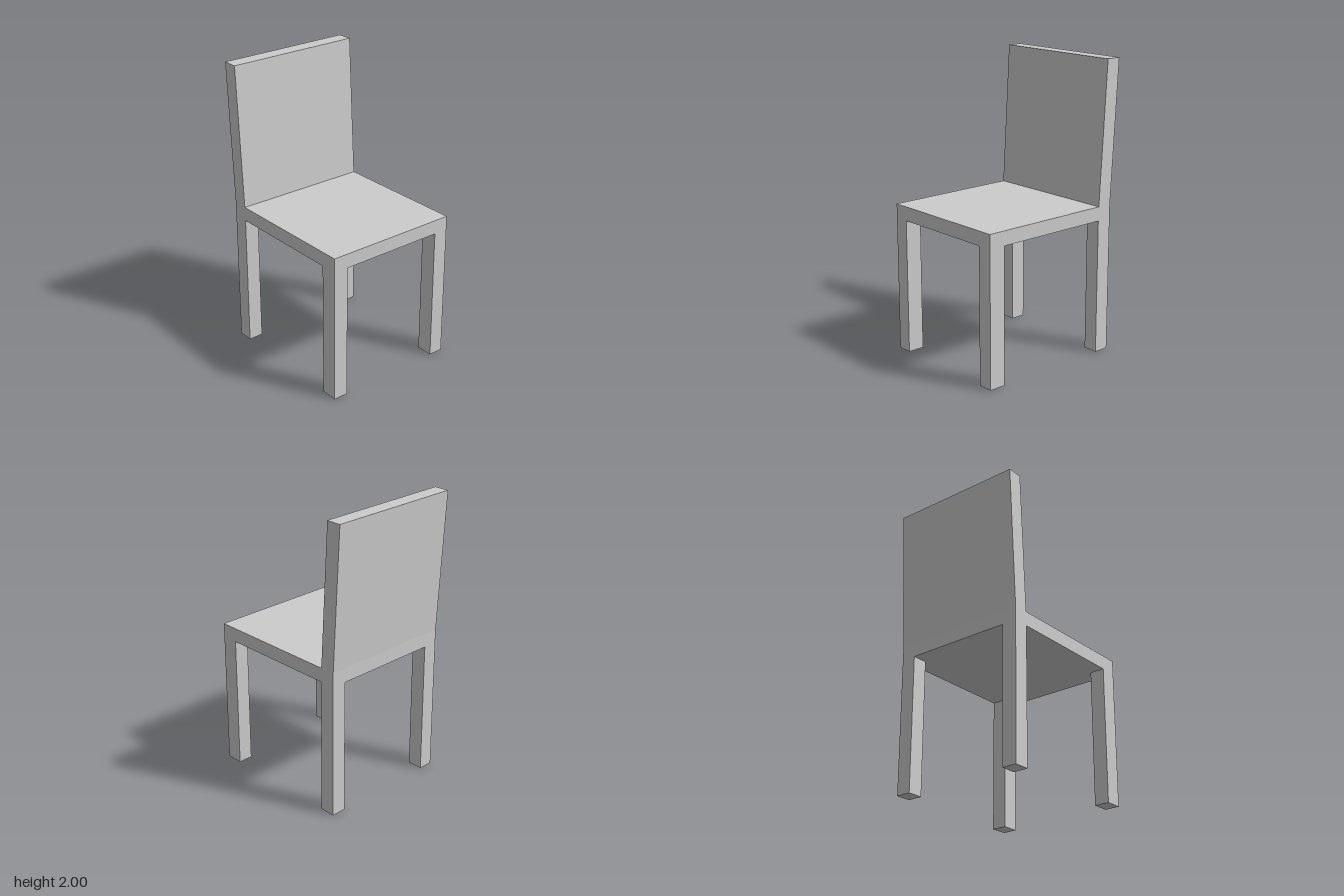
import * as THREE from 'three';

const HALF_W = 0.475;   // half width of the chair
const FRONT = 0.555;    // front edge of the seat
const REAR = -0.5;      // rear edge of the seat
const SEAT_BOTTOM = 0.93, SEAT_TOP = 1.027, TOP = 2;
const LEG_W = 0.103;

export function createModel() {
  const chair = new THREE.Group();
  chair.name = 'chair';
  const material = new THREE.MeshStandardMaterial({ color: 0xcccccc, flatShading: true });

  const add = (name, geometry) => {
    const mesh = new THREE.Mesh(geometry, material);
    mesh.name = name;
    chair.add(mesh);
  };

  // Box given by its limits on each axis
  const box = (x0, x1, y0, y1, z0, z1) =>
    new THREE.BoxGeometry(x1 - x0, y1 - y0, z1 - z0)
      .translate((x0 + x1) / 2, (y0 + y1) / 2, (z0 + z1) / 2);

  // Seat slab
  add('seat', box(-HALF_W, HALF_W, SEAT_BOTTOM, SEAT_TOP, REAR, FRONT));

  // Backrest: leaning side profile (z, y) extruded across the width
  const profile = new THREE.Shape([
    new THREE.Vector2(REAR, SEAT_TOP),
    new THREE.Vector2(-0.395, SEAT_TOP),
    new THREE.Vector2(-0.45, TOP),
    new THREE.Vector2(-0.555, TOP),
  ]);
  add('backrest', new THREE.ExtrudeGeometry(profile, { depth: 2 * HALF_W, bevelEnabled: false })
    .translate(0, 0, -HALF_W)
    .rotateY(-Math.PI / 2));

  // Four legs, flush with the seat corners
  for (const [side, x0] of [['left', HALF_W - LEG_W], ['right', -HALF_W]]) {
    add(`${side}FrontLeg`, box(x0, x0 + LEG_W, 0, SEAT_BOTTOM, 0.438, FRONT));
    add(`${side}BackLeg`, box(x0, x0 + LEG_W, 0, SEAT_BOTTOM, REAR, -0.393));
  }

  return chair;
}
